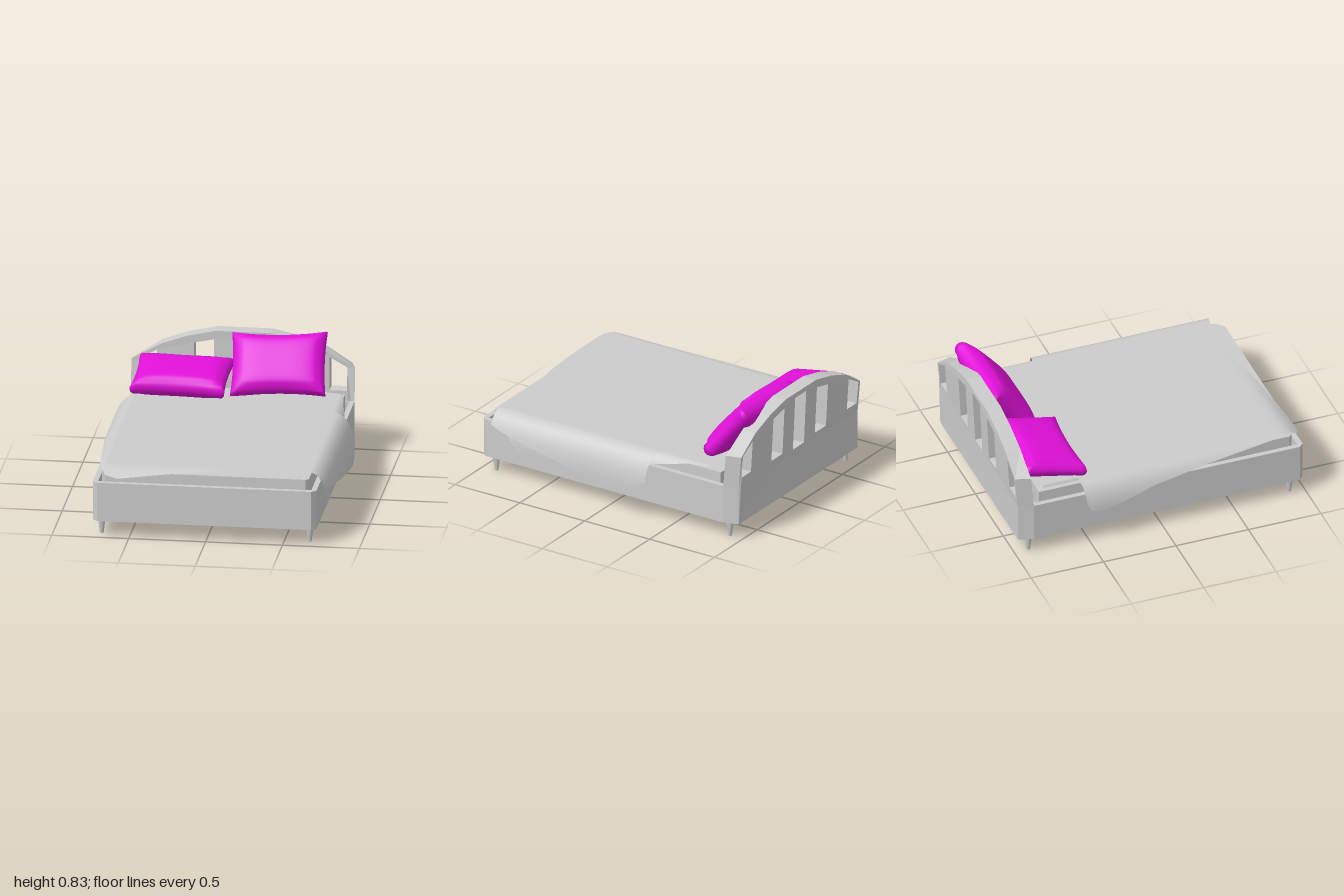
import * as THREE from 'three';
import { mergeVertices } from 'three/addons/utils/BufferGeometryUtils.js';

const CX = -0.012; // centre line of the bed frame
const grey = new THREE.MeshStandardMaterial({ color: 0xcccccc });
const cloth = new THREE.MeshStandardMaterial({ color: 0xcccccc, side: THREE.DoubleSide });
const magenta = new THREE.MeshStandardMaterial({ color: 0xe010d8 });

function add(group, name, geometry, material = grey) {
  const mesh = new THREE.Mesh(geometry, material);
  mesh.name = name;
  group.add(mesh);
  return mesh;
}

const toPoints = (list) => list.map(([x, y]) => new THREE.Vector2(x, y));

// Piecewise linear lookup through [key, value] stations
function lookup(stations, k) {
  if (k <= stations[0][0]) return stations[0][1];
  for (let i = 1; i < stations.length; i++) {
    const [a, va] = stations[i - 1], [b, vb] = stations[i];
    if (k <= b) return va + ((vb - va) * (k - a)) / (b - a);
  }
  return stations[stations.length - 1][1];
}

// Horizontal slab with chamfered front corners, outline in x and z
function slab(x0, x1, z0, z1, top, height, chamfer, hole) {
  const shape = new THREE.Shape(toPoints([
    [x0, z0], [x1, z0], [x1, z1 - chamfer], [x1 - chamfer, z1], [x0 + chamfer, z1], [x0, z1 - chamfer],
  ]));
  if (hole) {
    const [a, b, c, d] = hole;
    shape.holes.push(new THREE.Path(toPoints([[a, c], [a, d], [b, d], [b, c]])));
  }
  return new THREE.ExtrudeGeometry(shape, { depth: height, bevelEnabled: false })
    .rotateX(Math.PI / 2).translate(0, top, 0);
}

// Arched headboard with five openings, leaning back above the frame
function headboardGeometry() {
  const w = 0.727;
  const arch = [[w, 0.585], [0.53, 0.695], [0.36, 0.755], [0.18, 0.795]];
  const outline = [
    [-w, 0.105], [w, 0.105], [w, 0.365], ...arch,
    ...arch.map(([x, y]) => [-x, y]).reverse(), [-w, 0.365],
  ];
  const shape = new THREE.Shape(toPoints(outline));
  const openings = [[-0.065, 0.065, 0.39, 0.762, 0.762]];
  for (const s of [-1, 1]) {
    for (const [a, b, low, ya, yb] of [[0.19, 0.32, 0.41, 0.737, 0.71], [0.562, 0.677, 0.43, 0.65, 0.585]])
      openings.push(s > 0 ? [a, b, low, ya, yb] : [-b, -a, low, yb, ya]);
  }
  for (const [a, b, low, ya, yb] of openings)
    shape.holes.push(new THREE.Path(toPoints([[a, low], [a, ya], [b, yb], [b, low]])));
  const geo = new THREE.ExtrudeGeometry(shape, { depth: 0.1, bevelEnabled: false });
  const p = geo.attributes.position;
  for (let i = 0; i < p.count; i++) {
    const x = p.getX(i), lean = THREE.MathUtils.clamp((p.getY(i) - 0.365) / 0.22, 0, 1) * 0.02;
    // chamfered back corners
    if (p.getZ(i) < 0.01 && Math.abs(x) > 0.7) p.setX(i, Math.sign(x) * (w - 0.03));
    p.setZ(i, p.getZ(i) - 0.98 - lean);
  }
  geo.translate(CX, 0, 0);
  geo.computeVertexNormals();
  return geo;
}

// Draped cloth: flat on top, falling over each side down to a hem height given by z
function drape({ top, left, right, head, front }) {
  const cols = 40, rows = 40, side = 12, pos = [], index = [];
  for (let r = 0; r <= rows; r++) {
    for (let c = 0; c <= cols; c++) {
      const edge = c < side ? left : c > cols - side ? right : null;
      const s = c < side ? 1 - c / side : (c - cols + side) / side;
      const flat = THREE.MathUtils.clamp((c - side) / (cols - 2 * side), 0, 1);
      let x = left.x + (right.x - left.x) * flat, y = top, z;
      const place = () => { z = THREE.MathUtils.lerp(lookup(head, x), lookup(front, x), r / rows); };
      place();
      if (edge) {
        const d = (top - lookup(edge.hem, z)) * s * s;
        const k = 1 - Math.min(d / edge.depth, 1);
        x = edge.x + edge.width * Math.sqrt(1 - k * k);
        y -= d;
        place();
      }
      // sag past the foot of the mattress
      const over = Math.max(0, z - 0.86) / 0.135;
      pos.push(x, y - 0.06 * over * over, z);
      if (r < rows && c < cols) {
        const a = r * (cols + 1) + c, b = a + cols + 1;
        index.push(a, b, a + 1, b, b + 1, a + 1);
      }
    }
  }
  const geo = new THREE.BufferGeometry();
  geo.setAttribute('position', new THREE.Float32BufferAttribute(pos, 3));
  geo.setIndex(index);
  geo.computeVertexNormals();
  return geo;
}

// Plump cushion with pinched edges, from a subdivided box
function pillowGeometry(width, thickness, depth) {
  let geo = new THREE.BoxGeometry(2, 2, 2, 18, 6, 14);
  geo.deleteAttribute('uv');
  geo.deleteAttribute('normal');
  geo = mergeVertices(geo);
  const p = geo.attributes.position;
  for (let i = 0; i < p.count; i++) {
    const u = p.getX(i), s = p.getY(i), v = p.getZ(i);
    const puff = 0.5 + 0.5 * Math.sqrt(Math.max(0, (1 - u ** 4) * (1 - v ** 4)));
    const round = 1 - 0.07 * s * s;
    p.setXYZ(i,
      u * round * (1 - 0.04 * (1 - v * v)) * width / 2,
      s * puff * thickness / 2,
      v * round * (1 - 0.1 * (1 - u * u)) * depth / 2);
  }
  geo.computeVertexNormals();
  return geo;
}

export function createModel() {
  const bed = new THREE.Group();
  bed.name = 'bed';

  // Frame: solid base with a raised rim around the mattress
  const x0 = CX - 0.727, x1 = CX + 0.727;
  add(bed, 'frameBase', slab(x0, x1, -0.88, 0.985, 0.3, 0.195, 0.03));
  add(bed, 'frameRim', slab(x0, x1, -0.88, 0.985, 0.365, 0.065, 0.03, [-0.705, 0.681, -0.87, 0.95]));
  add(bed, 'headboard', headboardGeometry());
  add(bed, 'mattress', slab(-0.685, 0.66, -0.825, 0.925, 0.425, 0.125, 0.02));

  // Tapered legs
  const legGeo = new THREE.CylinderGeometry(0.026, 0.012, 0.107, 10).translate(0, 0.0535, 0);
  for (const sx of [-1, 1])
    for (const z of [-0.9, 0.9]) add(bed, 'leg', legGeo).position.set(CX + sx * 0.676, 0, z);

  // Under sheet, reaching under the pillows and hanging on the left side
  add(bed, 'sheet', drape({
    top: 0.45,
    left: { x: -0.64, width: -0.03, depth: 0.1, hem: [[0, 0.43]] },
    right: {
      x: 0.64, width: 0.112, depth: 0.22,
      hem: [[-0.78, 0.448], [-0.6, 0.435], [-0.33, 0.38], [0, 0.3], [0.4, 0.265], [0.6, 0.217],
        [0.69, 0.225], [0.75, 0.28], [0.8, 0.38]],
    },
    head: [[0.55, -0.785], [0.63, -0.77], [0.66, -0.74]],
    front: [[-0.6, 0.85], [0.5, 0.8], [0.75, 0.79]],
  }), cloth);

  // Blanket, pulled askew with an uneven hem
  add(bed, 'blanket', drape({
    top: 0.457,
    left: {
      x: -0.66, width: -0.14, depth: 0.2,
      hem: [[-0.55, 0.32], [-0.51, 0.27], [-0.45, 0.255], [-0.35, 0.265], [-0.2, 0.3], [0, 0.35],
        [0.4, 0.4], [0.7, 0.425], [0.9, 0.445]],
    },
    right: {
      x: 0.66, width: 0.137, depth: 0.24,
      hem: [[-0.33, 0.27], [-0.3, 0.2], [-0.26, 0.17], [-0.2, 0.163], [0, 0.19], [0.4, 0.265],
        [0.6, 0.305], [0.8, 0.345], [0.88, 0.375]],
    },
    head: [[-0.8, -0.53], [-0.69, -0.55], [0.65, -0.36], [0.79, -0.325]],
    front: [[-0.74, 0.75], [-0.7, 0.88], [-0.66, 0.97], [-0.6, 0.995], [-0.4, 0.97], [0, 0.915],
      [0.44, 0.83], [0.7, 0.875], [0.8, 0.88]],
  }), cloth);

  // Pillows: one lying, one leaning on the headboard
  const lying = add(bed, 'lyingPillow', pillowGeometry(0.62, 0.16, 0.42), magenta);
  lying.position.set(-0.383, 0.55, -0.697);
  lying.rotation.set(0.2, -0.03, 0);
  const leaning = add(bed, 'leaningPillow', pillowGeometry(0.62, 0.18, 0.44), magenta);
  leaning.position.set(0.237, 0.63, -0.77);
  leaning.rotation.set(0.87, 0.05, 0);

  return bed;
}
